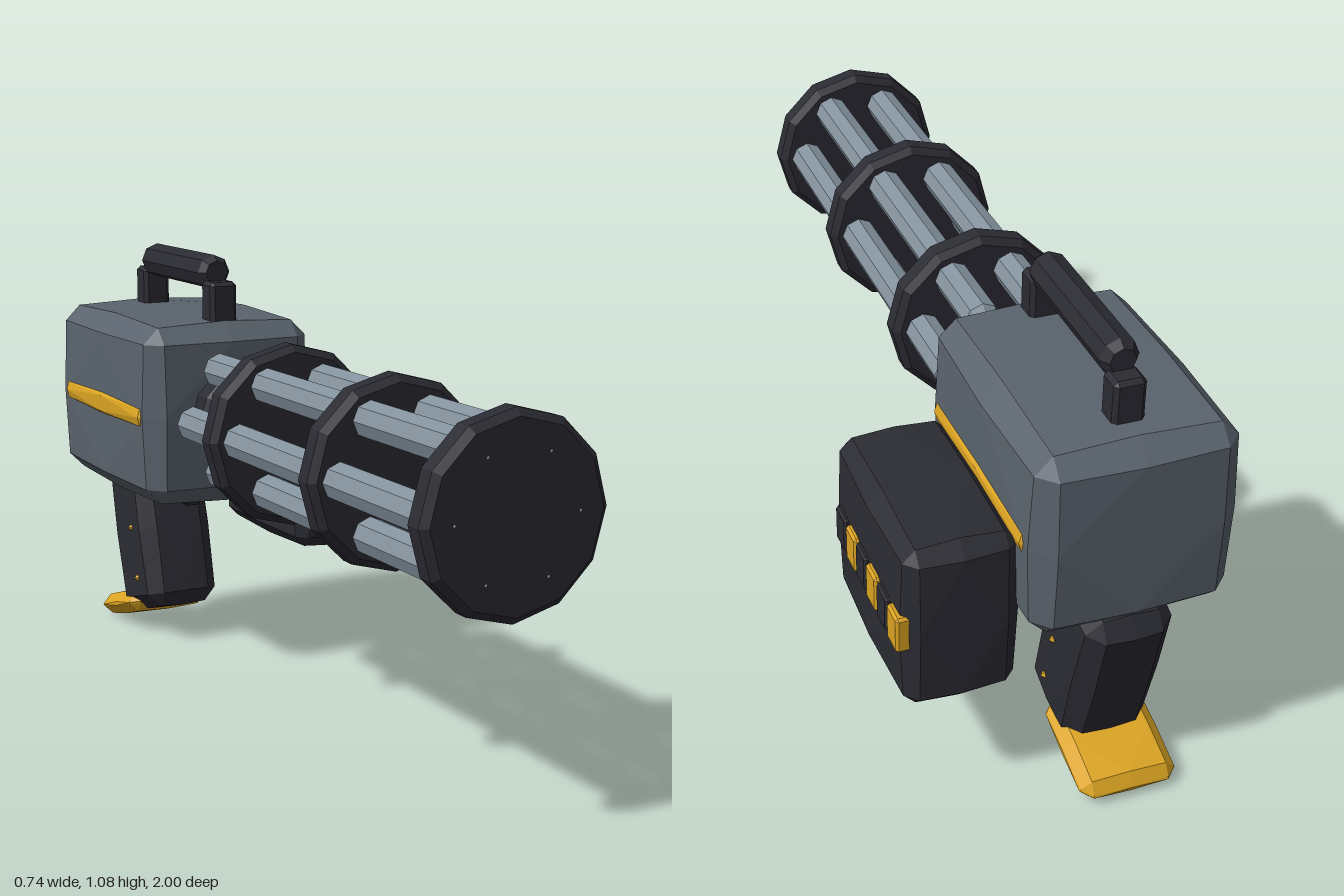
import * as THREE from 'three';
import { ConvexGeometry } from 'three/addons/geometries/ConvexGeometry.js';

const mat = (name, color) => {
  const m = new THREE.MeshStandardMaterial({ color });
  m.name = name;
  return m;
};

// Box with cut edges whose faces bulge slightly in the middle
function bevelBox(size, c, bulge = 0) {
  const half = size.map((s) => s / 2);
  const pts = [];
  for (let a = 0; a < 3; a++) {
    const b = (a + 1) % 3, d = (a + 2) % 3;
    for (const s of [-1, 1]) for (const u of [-1, 0, 1]) for (const v of [-1, 0, 1]) {
      const mid = u === 0 || v === 0;
      if (mid && !bulge) continue;
      const p = [0, 0, 0];
      p[a] = s * (half[a] + (mid ? bulge : 0));
      p[b] = u * (half[b] - c);
      p[d] = v * (half[d] - c);
      pts.push(new THREE.Vector3(...p));
    }
  }
  return new ConvexGeometry(pts);
}

// Faceted turned part along z, from [radius, z] pairs in rising z
function turned(profile, sides) {
  const g = new THREE.LatheGeometry(profile.map(([r, z]) => new THREE.Vector2(r, z)), sides)
    .rotateX(Math.PI / 2).toNonIndexed();
  g.computeVertexNormals();
  return g;
}

export function createModel() {
  const dark = mat('charcoal', 0x2b2b33);
  const grey = mat('slate grey', 0x5a636d);
  const steel = mat('light steel', 0x84929d);
  const gold = mat('gold', 0xdaa322);
  const model = new THREE.Group();
  const AX = -0.13, AY = 0.69;

  const add = (name, geo, material, x, y, z, parent = model) => {
    const m = new THREE.Mesh(geo, material);
    m.name = name;
    m.position.set(x, y, z);
    parent.add(m);
    return m;
  };

  // Barrel cluster: six pointed barrels held by three discs
  const barrel = turned([[0, -0.275], [0.043, -0.235], [0.043, 0.97], [0, 1.003]], 8);
  for (let i = 0; i < 6; i++) {
    const t = (i * Math.PI) / 3;
    add('barrel', barrel, steel, AX + 0.147 * Math.cos(t), AY + 0.147 * Math.sin(t), 0);
  }
  const disc = turned([[0, -0.035], [0.203, -0.035], [0.22, -0.02], [0.22, 0.02], [0.203, 0.035], [0, 0.035]], 12);
  for (const z of [0.965, 0.5, 0]) add('barrelDisc', disc, dark, AX, AY, z);
  add('hub', turned([[0, -0.36], [0.115, -0.36], [0.115, -0.26], [0.065, -0.2], [0, -0.2]], 12), dark, AX, AY, 0);

  // Body with raised side stripes
  add('body', bevelBox([0.45, 0.45, 0.63], 0.04, 0.008), grey, AX, AY, -0.633);
  add('sideStripes', bevelBox([0.468, 0.065, 0.53], 0.012, 0.006), gold, AX, AY, -0.625);

  // Carry handle
  for (const z of [-0.393, -0.828]) add('handlePost', bevelBox([0.073, 0.14, 0.066], 0.01), dark, AX, 0.95, z);
  add('handleBar', turned([[0, -0.205], [0.03, -0.205], [0.044, -0.185], [0.044, 0.185], [0.03, 0.205], [0, 0.205]], 8),
    dark, AX, 1.04, -0.61);

  // Ammunition box on the left side, with a row of side plates
  add('ammoBox', bevelBox([0.25, 0.41, 0.475], 0.028, 0.007), dark, 0.222, 0.495, -0.63);
  const plate = bevelBox([0.04, 0.09, 0.064], 0.006);
  for (let i = 0; i < 3; i++) {
    add('darkPlate', plate, dark, 0.345, 0.495, -0.467 - i * 0.142);
    add('goldPlate', plate, gold, 0.346, 0.495, -0.543 - i * 0.14);
  }

  // Stepped feed belt on the front of the box
  const belt = [[0.1, 0.53], [0.112, 0.485], [0.135, 0.442], [0.158, 0.402], [0.18, 0.358]];
  for (const [x, y] of belt) add('beltRound', bevelBox([0.045, 0.035, 0.05], 0.005), gold, x, y, -0.4);

  // Leaning grip with studs and foot plate
  const grip = new THREE.Group();
  grip.name = 'gripAssembly';
  grip.position.set(AX, 0.29, -0.795);
  grip.rotation.x = -0.27;
  model.add(grip);
  add('grip', bevelBox([0.2, 0.43, 0.235], 0.035, 0.004), dark, 0, 0, 0, grip);
  add('footPlate', bevelBox([0.222, 0.055, 0.25], 0.022, 0.004), gold, 0, -0.196, 0.132 - 0.265, grip);
  const stud = new THREE.OctahedronGeometry(0.014);
  for (const s of [-1, 1]) for (const y of [-0.13, 0.01]) add('gripStud', stud, gold, s * 0.1, y, 0.03, grip);

  // Trigger and its guard under the body
  add('triggerGuard', bevelBox([0.215, 0.045, 0.12], 0.012), gold, AX, 0.438, -0.665);
  add('trigger', bevelBox([0.055, 0.075, 0.06], 0.012), dark, AX, 0.435, -0.6);

  return model;
}
